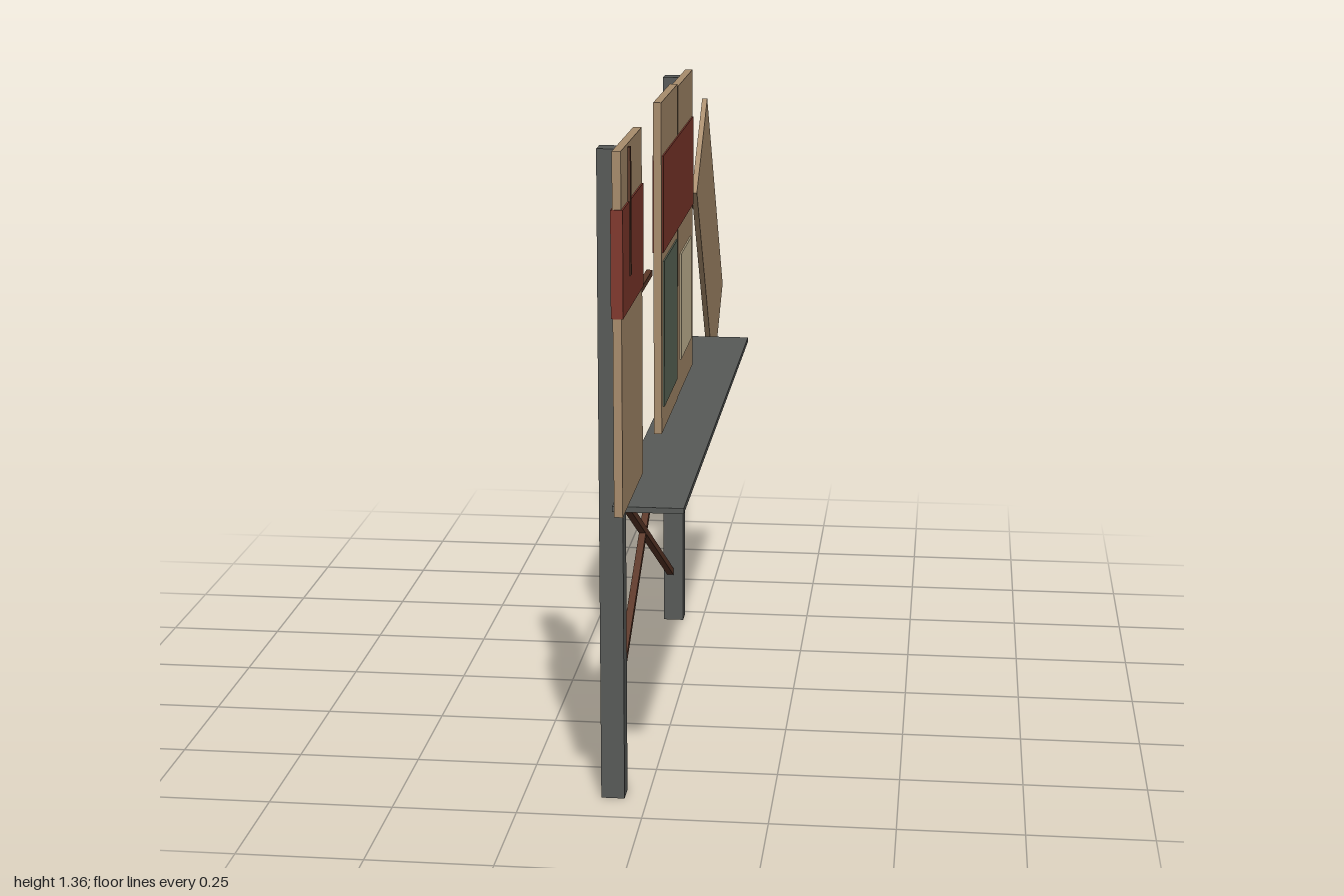
import * as THREE from 'three';

const mat = (color) => new THREE.MeshStandardMaterial({ color });

export function createModel() {
  const group = new THREE.Group();
  const steel = mat(0x585a58), wood = mat(0x5c3828), card = mat(0xa88c6c);
  const red = mat(0x80382c), green = mat(0x5e6a5a), cream = mat(0xd0c09c);

  // Box given by its extents along x, y and z
  function box(name, material, [x0, x1], [y0, y1], [z0, z1]) {
    const mesh = new THREE.Mesh(new THREE.BoxGeometry(x1 - x0, y1 - y0, z1 - z0), material);
    mesh.position.set((x0 + x1) / 2, (y0 + y1) / 2, (z0 + z1) / 2);
    mesh.name = name;
    group.add(mesh);
    return mesh;
  }

  // Square bar between two points in the plane x = const
  function bar(name, x, [y0, z0], [y1, z1], size) {
    const dy = y1 - y0, dz = z1 - z0;
    const mesh = new THREE.Mesh(new THREE.BoxGeometry(size, size, Math.hypot(dy, dz)), wood);
    mesh.position.set(x, (y0 + y1) / 2, (z0 + z1) / 2);
    mesh.rotation.x = -Math.atan2(dy, dz);
    mesh.name = name;
    group.add(mesh);
  }

  // Upright posts and shelf
  box('frontPost', steel, [-0.093, -0.046], [0, 1.312], [0.611, 0.657]);
  box('backPost', steel, [-0.093, -0.046], [0, 1.312], [-0.483, -0.438]);
  box('shelf', steel, [-0.046, 0.09], [0.646, 0.657], [-0.645, 0.812]);

  // Crossed braces
  bar('braceA', -0.077, [0.65, 0.615], [0.12, -0.442], 0.015);
  bar('braceB', -0.077, [0.12, 0.615], [0.65, -0.442], 0.015);

  // Horizontal rods beside the boards
  bar('frontRod', -0.023, [1.025, 0.405], [1.025, 0.68], 0.012);
  bar('backRod', -0.023, [1.025, -0.515], [1.025, -0.235], 0.012);

  // Upright boards
  const boardX = [-0.017, -0.001];
  box('endBoard', card, boardX, [0.692, 1.36], [0.7, 0.998]);
  box('middleBoardA', card, boardX, [0.686, 1.364], [0.087, 0.386]);
  box('middleBoardB', card, boardX, [0.689, 1.358], [-0.213, 0.081]);

  // Fallen board leaning at an angle
  const tilted = box('tiltedBoard', card, [-0.017, -0.005], [0.552, 1.224], [-0.825, -0.525]);
  tilted.rotation.x = 0.664;

  // Coloured panels showing on both faces
  const panelX = [-0.02, 0.002];
  box('endBand', red, panelX, [1.06, 1.256], [0.702, 1.0]);
  box('middleBand', red, panelX, [1.06, 1.256], [-0.203, 0.377]);
  box('greenPanel', green, panelX, [0.737, 1.04], [0.116, 0.36]);
  box('creamPanel', cream, panelX, [0.762, 0.994], [-0.17, 0.043]);

  // Narrow strip on the end board
  box('strip', wood, [-0.01, 0.004], [1.12, 1.354], [0.892, 0.906]);

  return group;
}
